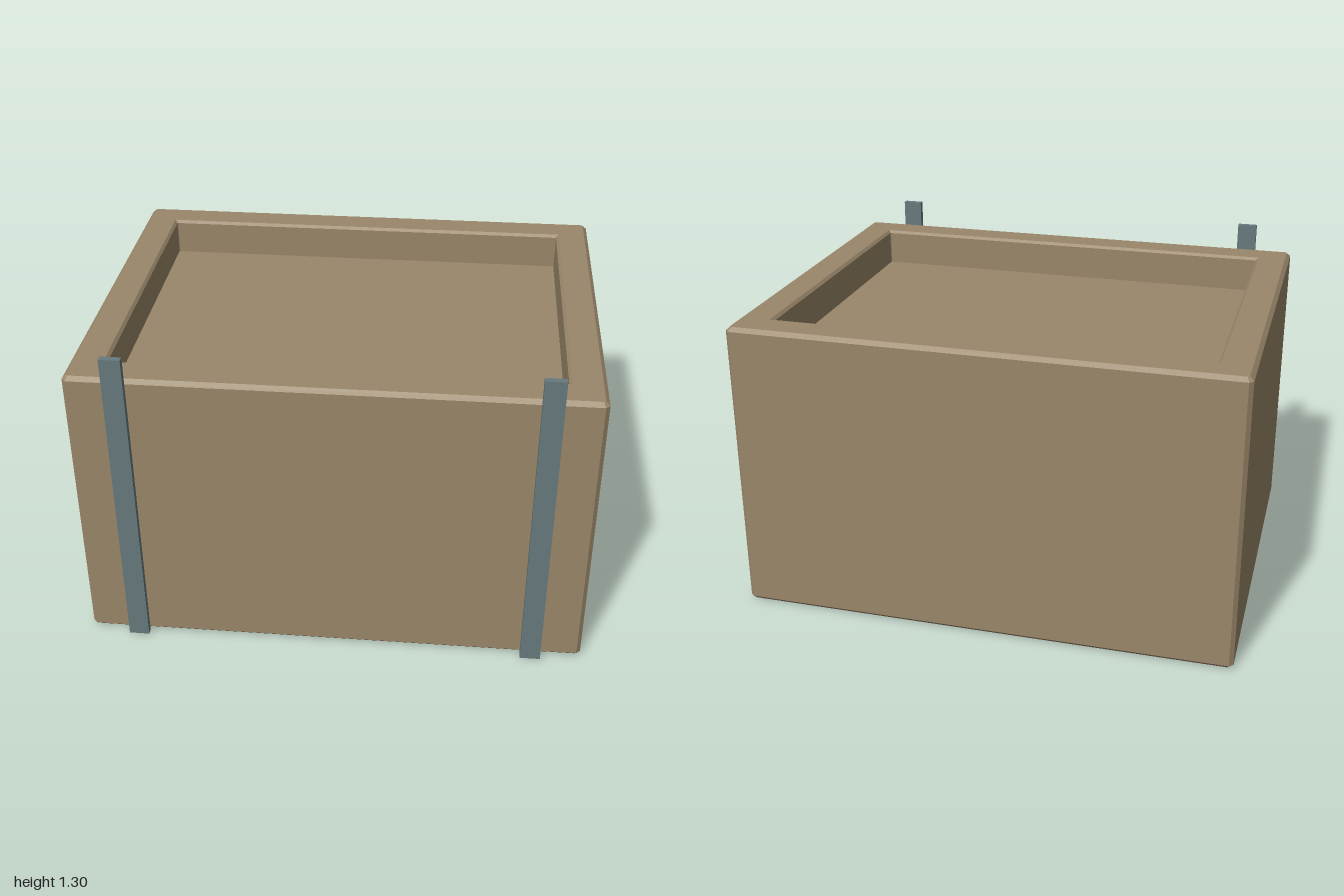
import * as THREE from 'three';

const wood = new THREE.MeshStandardMaterial({ color: 0x9a876a });
wood.name = 'tan wood';
const metal = new THREE.MeshStandardMaterial({ color: 0x677a7d });
metal.name = 'grey metal';

// Rectangle outline with cut corners, at height y
function ring([w, d, c, y]) {
  return [
    [w, c - d], [w, d - c], [w - c, d], [c - w, d],
    [-w, d - c], [-w, c - d], [c - w, -d], [w - c, -d],
  ].map(([x, z]) => [x, y, z]);
}

// Skin a list of rings, inside to outside from the bottom up
function loft(sections) {
  const rings = sections.map(ring);
  const pos = [];
  for (let r = 0; r < rings.length - 1; r++) {
    for (let i = 0; i < 8; i++) {
      const j = (i + 1) % 8;
      const a = rings[r][i], b = rings[r][j];
      const c = rings[r + 1][i], d = rings[r + 1][j];
      if (r > 0) pos.push(...a, ...c, ...b);
      if (r < rings.length - 2) pos.push(...b, ...c, ...d);
    }
  }
  const geo = new THREE.BufferGeometry();
  geo.setAttribute('position', new THREE.Float32BufferAttribute(pos, 3));
  geo.computeVertexNormals();
  return geo;
}

export function createModel() {
  const model = new THREE.Group();
  model.name = 'crate';

  const W = 1, D = 0.78, H = 1.197, B = 0.016; // half width, half depth, height, bevel
  const w = 0.871, d = 0.651, b = 0.011, c = 0.003; // recess opening and its bevel

  // Bevelled body with a shallow recess below and a deeper tray on top
  const body = new THREE.Mesh(loft([
    [0, 0, 0, 0.048],
    [w - b, d - b, c, 0.048],
    [w - b, d - b, c, b],
    [w, d, c, 0],
    [W - B, D - B, B / 2, 0],
    [W, D, B, B],
    [W, D, B, H - B],
    [W - B, D - B, B / 2, H],
    [w, d, c, H],
    [w - b, d - b, c, H - b],
    [w - b, d - b, c, H - 0.152],
    [0, 0, 0, H - 0.152],
  ]), wood);
  body.name = 'body';
  body.position.z = -0.0175;
  model.add(body);

  // Upright straps standing just in front of the body
  for (const side of [-1, 1]) {
    const strap = new THREE.Mesh(new THREE.BoxGeometry(0.081, 1.296, 0.025), metal);
    strap.name = side > 0 ? 'leftStrap' : 'rightStrap';
    strap.position.set(side * 0.798, 0.652, 0.785);
    model.add(strap);
  }
  return model;
}
